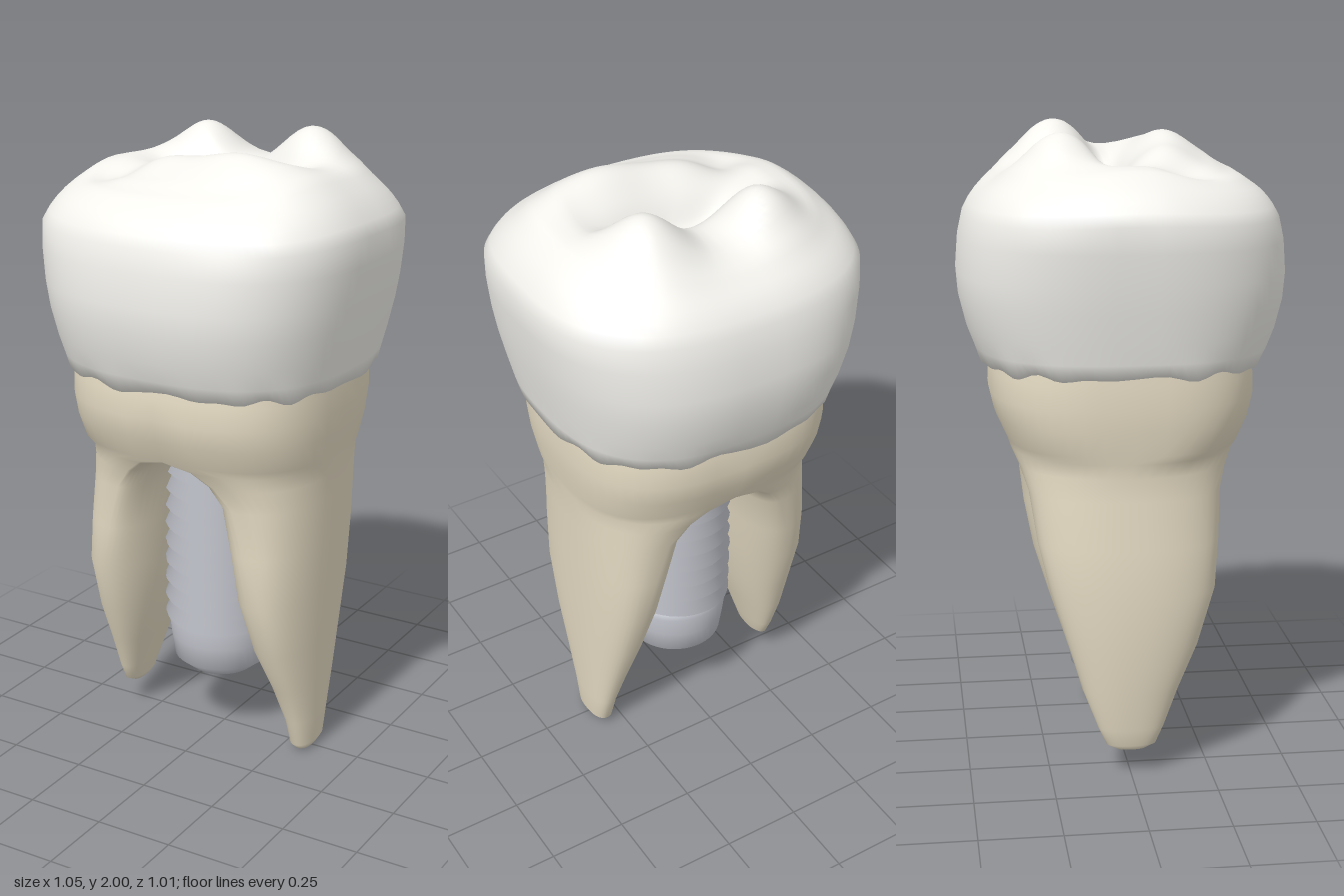
import * as THREE from 'three';
import { mergeVertices } from 'three/addons/utils/BufferGeometryUtils.js';

const sgnPow = (v, e) => Math.sign(v) * Math.pow(Math.abs(v), e);

// Triangles between successive rings of points, ordered from top to bottom
function loft(rings, closed, flip = false) {
  const out = [];
  for (let k = 0; k + 1 < rings.length; k++) {
    const a = rings[k], b = rings[k + 1], n = a.length;
    for (let i = 0; i < (closed ? n : n - 1); i++) {
      const j = (i + 1) % n;
      const tris = [[a[i], b[i], b[j]], [a[i], b[j], a[j]]];
      for (const [p, q, r] of tris) out.push(...p, ...(flip ? r : q), ...(flip ? q : r));
    }
  }
  return out;
}

// Smooth geometry with welded seams
function smooth(positions) {
  let g = new THREE.BufferGeometry();
  g.setAttribute('position', new THREE.Float32BufferAttribute(positions, 3));
  g = mergeVertices(g, 1e-4);
  g.computeVertexNormals();
  return g;
}

function mesh(name, geometry, color) {
  const m = new THREE.Mesh(geometry, new THREE.MeshStandardMaterial({ color, side: THREE.DoubleSide }));
  m.name = name;
  return m;
}

// Height of the chewing surface: domed base plus cusps, ridges and grooves
const DOME = [[0, 1.85], [0.4, 1.86], [0.6, 1.865], [0.76, 1.848], [0.88, 1.81], [0.95, 1.775], [1, 1.73]];
const BUMPS = [ // x, z, spread x, spread z, height
  [-0.17, -0.19, 0.12, 0.13, 0.12],
  [0.2, -0.18, 0.13, 0.14, 0.135],
  [0.14, 0.16, 0.22, 0.12, 0.105],
  [-0.12, 0.12, 0.12, 0.1, 0.045],
  [0.39, 0, 0.12, 0.22, 0.045],
  [-0.38, 0.02, 0.13, 0.2, 0.035],
  [-0.12, -0.04, 0.12, 0.055, -0.055],
  [0.1, -0.035, 0.15, 0.055, -0.06],
  [-0.28, 0.17, 0.08, 0.08, -0.03],
];
function biteHeight(x, z, q) {
  let k = 0;
  while (k < DOME.length - 2 && q > DOME[k + 1][0]) k++;
  const [q0, y0] = DOME[k], [q1, y1] = DOME[k + 1];
  let y = y0 + (y1 - y0) * (q - q0) / (q1 - q0);
  for (const [bx, bz, sx, sz, h] of BUMPS) {
    y += h * Math.exp(-(((x - bx) / sx) ** 2) - ((z - bz) / sz) ** 2);
  }
  return y;
}

function crownGeometry() {
  const N = 96, rings = [];
  const ring = (rx, rz, yAt) => {
    const pts = [];
    for (let i = 0; i < N; i++) {
      const a = (i / N) * Math.PI * 2;
      const x = rx * sgnPow(Math.sin(a), 0.74), z = rz * sgnPow(Math.cos(a), 0.74);
      pts.push([x, yAt(x, z, a), z]);
    }
    rings.push(pts);
  };
  const STEPS = 28;
  for (let k = 0; k <= STEPS; k++) {
    const q = k / STEPS;
    ring(0.525 * q, 0.48 * q, (x, z) => biteHeight(x, z, q));
  }
  // Side wall, narrowing to a slightly ragged neck
  const wall = [[1.66, 0.52, 0.496], [1.56, 0.506, 0.504], [1.48, 0.492, 0.498], [1.39, 0.473, 0.476], [1.33, 0.46, 0.453]];
  for (const [y, rx, rz] of wall) ring(rx, rz, () => y);
  ring(0.45, 0.435, (x, z, a) => 1.285 + 0.006 * Math.sin(11 * a) + 0.006 * Math.sin(17 * a + 1));
  ring(0.41, 0.395, () => 1.31);
  return smooth(loft(rings, true));
}

// Neck rings: y, half width, half depth
const NECK = [[1.32, 0.427, 0.4], [1.26, 0.43, 0.407], [1.19, 0.43, 0.41], [1.12, 0.424, 0.394], [1.045, 0.412, 0.36]];
// Root rings: y, inner x, outer x, share of the width on the inner side, half depth, centre z
const ROOTS = {
  '1': [
    [1.02, 0.05, 0.41, 0.13, 0.346, -0.004], [0.975, 0.085, 0.405, 0.22, 0.324, -0.006],
    [0.9, 0.11, 0.4, 0.33, 0.3, -0.006], [0.75, 0.13, 0.394, 0.42, 0.287, 0],
    [0.58, 0.15, 0.387, 0.5, 0.264, 0.01], [0.4, 0.19, 0.378, 0.5, 0.209, 0.01], [0.25, 0.235, 0.369, 0.5, 0.15, 0],
    [0.12, 0.268, 0.36, 0.5, 0.104, -0.005], [0.03, 0.28, 0.355, 0.5, 0.08, -0.005], [0.01, 0.293, 0.345, 0.5, 0.055, 0],
    [0.004, 0.32, 0.32, 0.5, 0, 0],
  ],
  '-1': [
    [1.02, 0.05, 0.408, 0.13, 0.346, -0.004], [0.975, 0.085, 0.4, 0.22, 0.322, -0.006],
    [0.9, 0.116, 0.402, 0.33, 0.296, -0.006], [0.75, 0.14, 0.412, 0.42, 0.28, 0],
    [0.6, 0.16, 0.418, 0.5, 0.255, 0.01], [0.42, 0.2, 0.405, 0.5, 0.2, 0.01], [0.28, 0.245, 0.388, 0.5, 0.148, 0],
    [0.16, 0.283, 0.37, 0.5, 0.102, 0], [0.105, 0.3, 0.358, 0.5, 0.077, 0], [0.088, 0.31, 0.345, 0.5, 0.045, 0],
    [0.085, 0.328, 0.328, 0.5, 0, 0],
  ],
};

// Two roots that share the neck seam and the arch between them
function rootGeometry() {
  const H = 24, MID = -0.007, out = [];
  for (const side of [1, -1]) {
    const ring = (y, xin, xout, share, depth, zc, full, e, sag = 0) => {
      const xm = xin + (xout - xin) * share, pts = [];
      for (let i = 0; i < (full ? 2 * H : H + 1); i++) {
        const a = (i / H) * Math.PI;
        const c = sgnPow(Math.sin(a), e), s = i === H ? -1 : sgnPow(Math.cos(a), e);
        const outer = i <= H;
        const x = i % H === 0 ? xm : xm + c * (outer ? xout - xm : xm - xin);
        pts.push([MID + side * x, outer ? y : y - sag * Math.abs(Math.sin(a)), zc + depth * s]);
      }
      return pts;
    };
    const neck = NECK.map(([y, rx, rz]) => ring(y, 0, rx, 0, rz, 0, false, 0.7));
    const [fy, frx, frz] = NECK[NECK.length - 1];
    const legs = [ring(fy, 0, frx, 0, frz, 0, true, 0.7, 0.02)];
    for (const r of ROOTS[side]) legs.push(ring(...r, true, side > 0 ? 0.84 : 0.92));
    out.push(...loft(neck, false, side < 0), ...loft(legs, true, side < 0));
  }
  return smooth(out);
}

// Screw shaft with a helical thread; the plain cylinder normals keep its shading soft
function threadGeometry(y0, y1) {
  const g = new THREE.CylinderGeometry(1, 1, y1 - y0, 40, 90, true);
  g.translate(0, (y0 + y1) / 2, 0);
  const p = g.attributes.position, pitch = 0.064;
  for (let i = 0; i < p.count; i++) {
    const x = p.getX(i), y = p.getY(i), z = p.getZ(i);
    const t = y / pitch + Math.atan2(x, z) / (2 * Math.PI);
    const f = t - Math.floor(t);
    const tooth = f < 0.3 ? f / 0.3 : (1 - f) / 0.7;
    const r = 0.163 + 0.022 * tooth;
    p.setXYZ(i, x * r, y, z * r);
  }
  return g;
}

export function createModel() {
  const group = new THREE.Group();
  group.add(mesh('crown', crownGeometry(), 0xf2f1ec));
  group.add(mesh('roots', rootGeometry(), 0xe6dcc4));

  // Implant screw standing between the roots
  const implant = new THREE.Group();
  implant.name = 'implant';
  implant.position.x = -0.01;
  const tip = [[0, 0.21], [0.06, 0.213], [0.105, 0.224], [0.155, 0.265], [0.166, 0.34], [0.174, 0.41], [0.163, 0.43]];
  implant.add(mesh('implantThread', threadGeometry(0.4, 1.1), 0xc3c5cd));
  implant.add(mesh('implantTip', new THREE.LatheGeometry(tip.map(([r, y]) => new THREE.Vector2(r, y)), 40), 0xc3c5cd));
  group.add(implant);
  return group;
}
